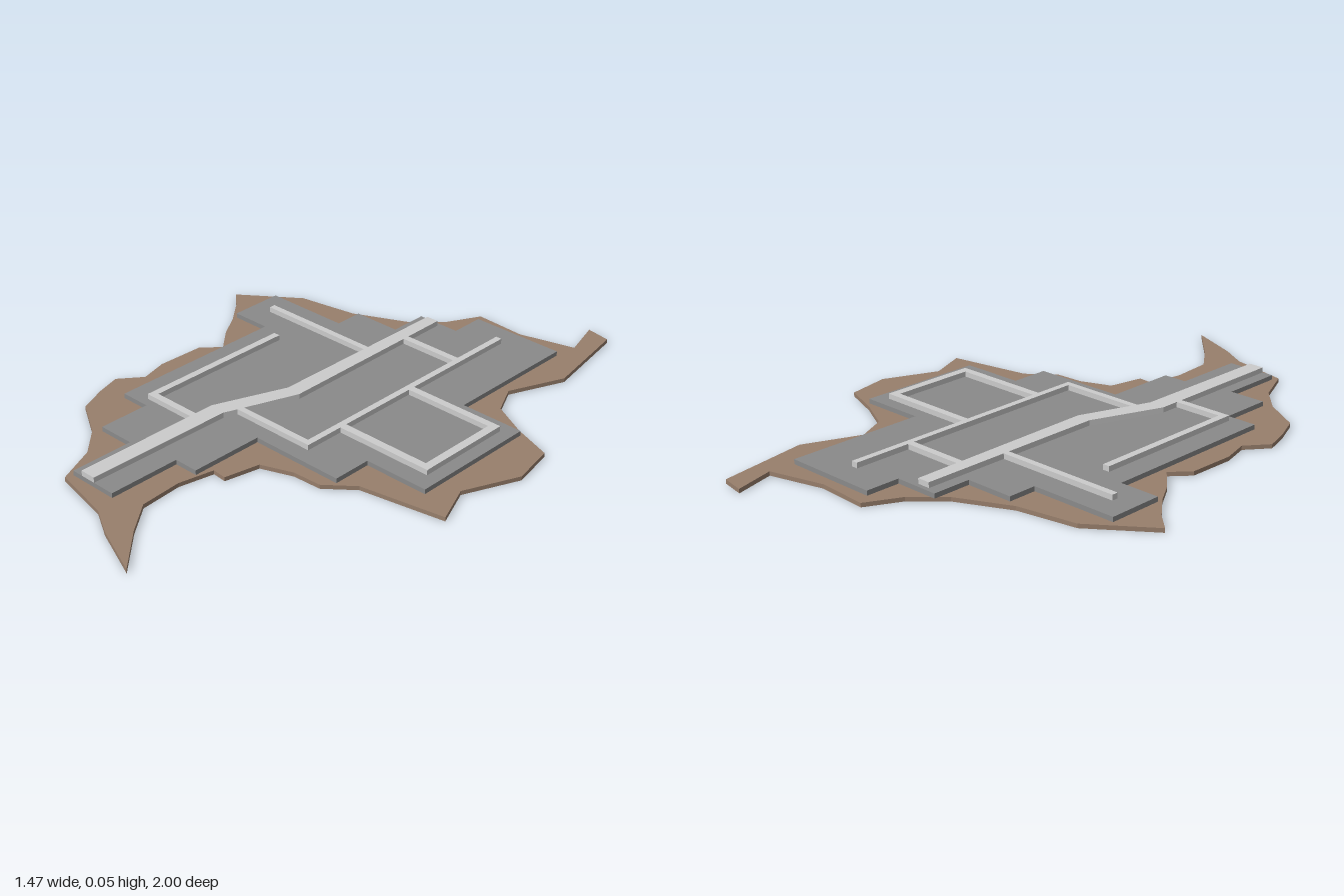
import * as THREE from 'three';

const GROUND_TOP = 0.014, SLAB_TOP = 0.03, ROAD_TOP = 0.048;

const material = (color) => new THREE.MeshStandardMaterial({ color, flatShading: true });

// Flat plate from an outline of [x, z] points, between two heights
function plate(name, outline, y0, y1, mat) {
  const shape = new THREE.Shape(outline.map(([x, z]) => new THREE.Vector2(x, -z)));
  const geo = new THREE.ExtrudeGeometry(shape, { depth: y1 - y0, bevelEnabled: false });
  geo.rotateX(-Math.PI / 2).translate(0, y0, 0);
  const mesh = new THREE.Mesh(geo, mat);
  mesh.name = name;
  return mesh;
}

// Ragged ground, starting at the far tip and going clockwise
const groundOutline = [
  [0.33, -1], [0.415, -0.985], [0.47, -0.67], [0.39, -0.48], [0.44, -0.375], [0.565, -0.31],
  [0.70, -0.26], [0.73, -0.11], [0.65, 0.075], [0.705, 0.21], [0.42, 0.26], [0.33, 0.335],
  [0.23, 0.34], [0.125, 0.38], [0.10, 0.50], [0.05, 0.495], [0.025, 0.615], [0.035, 0.76],
  [0.115, 0.865], [0.24, 1], [0.06, 0.925], [-0.035, 0.87], [-0.24, 0.825], [-0.30, 0.69],
  [-0.385, 0.60], [-0.515, 0.52], [-0.555, 0.425], [-0.58, 0.34], [-0.52, 0.265], [-0.545, 0.17],
  [-0.54, 0.01], [-0.485, -0.05], [-0.555, -0.13], [-0.605, -0.21], [-0.675, -0.295],
  [-0.735, -0.35], [-0.54, -0.495], [-0.45, -0.51], [-0.335, -0.53], [-0.155, -0.615],
  [-0.06, -0.705], [0, -0.82], [0.18, -0.81], [0.37, -0.86],
];

// Stepped paved area
const slabOutline = [
  [0.025, -0.775], [0.36, -0.775], [0.36, -0.29], [0.585, -0.29], [0.585, 0.16], [0.36, 0.16],
  [0.36, 0.295], [0.03, 0.295], [0.03, 0.55], [-0.055, 0.55], [-0.055, 0.8], [-0.23, 0.8],
  [-0.23, 0.58], [-0.36, 0.58], [-0.36, 0.40], [-0.465, 0.40], [-0.465, -0.23], [-0.605, -0.23],
  [-0.605, -0.42], [-0.30, -0.42], [-0.30, -0.52], [-0.13, -0.52], [-0.13, -0.655], [0.025, -0.655],
];

// Main road with its bend
const mainRoadOutline = [
  [-0.09, -0.64], [-0.045, -0.64], [-0.04, 0.04], [-0.13, 0.285], [-0.135, 0.8],
  [-0.19, 0.8], [-0.19, 0.28], [-0.095, 0.035],
];

// Side streets as strips: x0, x1, z0, z1
const streets = [
  [0.17, 0.192, -0.69, 0.24],
  [-0.044, 0.17, -0.488, -0.464],
  [-0.53, -0.091, -0.34, -0.318],
  [-0.386, -0.362, -0.195, 0.37],
  [-0.362, -0.19, 0.346, 0.37],
  [-0.12, 0.17, 0.218, 0.24],
  [0.192, 0.54, -0.245, -0.22],
  [0.512, 0.54, -0.22, 0.072],
  [0.192, 0.54, 0.072, 0.098],
];

export function createModel() {
  const model = new THREE.Group();
  model.name = 'townGround';
  const roadMat = material(0xcccccc);

  model.add(plate('ground', groundOutline, 0, GROUND_TOP, material(0x987f6c)));
  model.add(plate('pavedArea', slabOutline, GROUND_TOP, SLAB_TOP, material(0x8a8a8a)));

  const roads = new THREE.Group();
  roads.name = 'roads';
  roads.add(plate('mainRoad', mainRoadOutline, SLAB_TOP, ROAD_TOP, roadMat));
  for (const [x0, x1, z0, z1] of streets) {
    const corners = [[x0, z0], [x1, z0], [x1, z1], [x0, z1]];
    roads.add(plate('sideStreet', corners, SLAB_TOP, ROAD_TOP, roadMat));
  }
  model.add(roads);
  return model;
}
